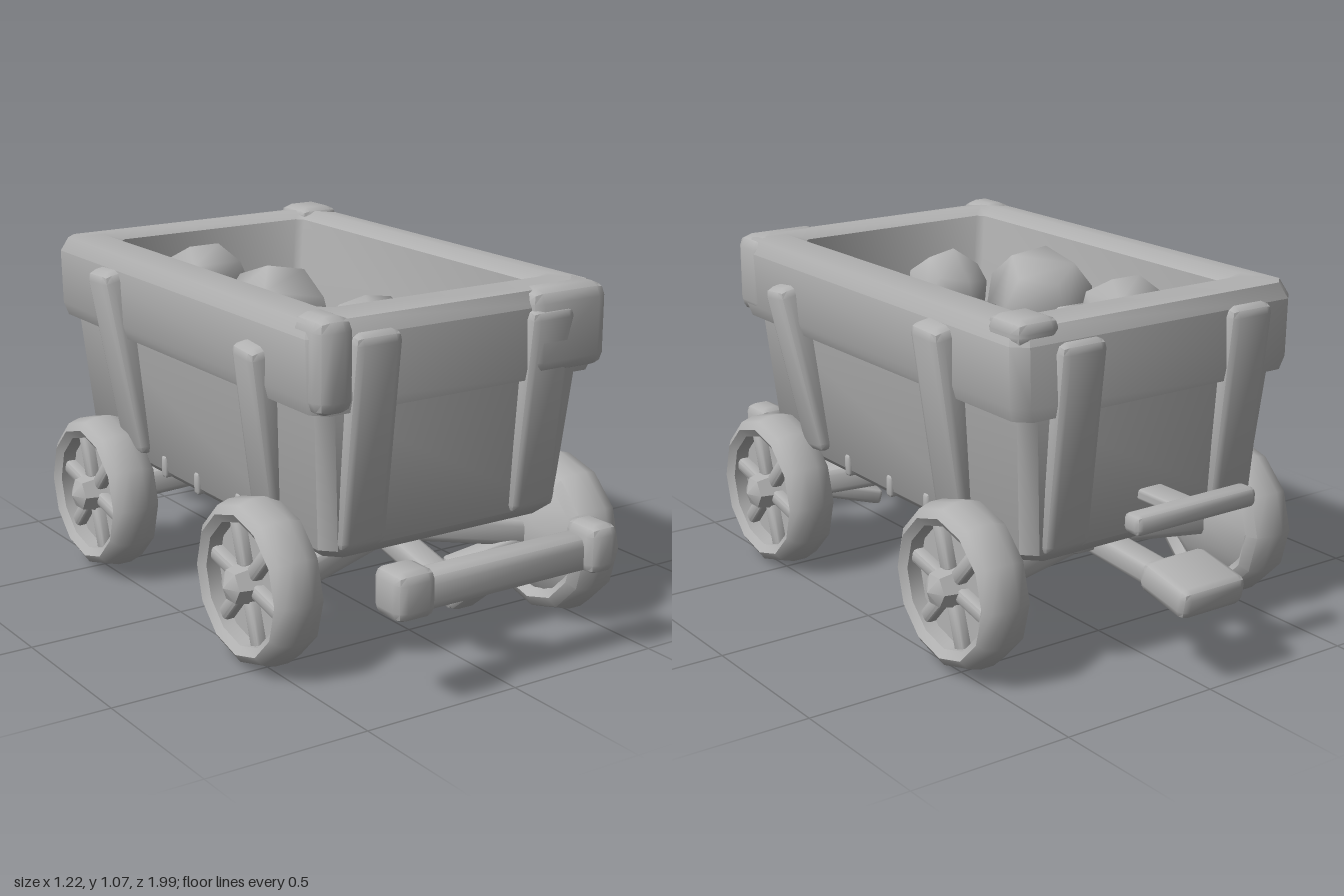
import * as THREE from 'three';
import { toCreasedNormals } from 'three/addons/utils/BufferGeometryUtils.js';
import { RoundedBoxGeometry } from 'three/addons/geometries/RoundedBoxGeometry.js';

const grey = new THREE.MeshStandardMaterial({ color: 0xb2b2b2 });
grey.name = 'plainGrey';

export function createModel() {
  const model = new THREE.Group();
  model.name = 'mineCart';

  const add = (name, geometry, parent = model, crease = 0.8) => {
    const mesh = new THREE.Mesh(toCreasedNormals(geometry, crease), grey);
    mesh.name = name;
    parent.add(mesh);
    return mesh;
  };

  // Bevelled block centred on (x, y, z)
  const block = (name, [w, h, d], [x, y, z], bevel = 0.02, parent = model) => {
    const mesh = add(name, new RoundedBoxGeometry(w, h, d, 1, bevel), parent);
    mesh.position.set(x, y, z);
    return mesh;
  };

  // Bevelled beam running from a to b
  const beam = (name, a, b, w, h, up = [0, 1, 0]) => {
    const from = new THREE.Vector3(...a), to = new THREE.Vector3(...b);
    const mesh = block(name, [w, h, from.distanceTo(to)], [0, 0, 0], Math.min(w, h) * 0.25);
    mesh.position.copy(from).add(to).multiplyScalar(0.5);
    mesh.up.set(...up);
    mesh.lookAt(to);
    return mesh;
  };

  // Skin over chamfered rectangles given as [y, halfWidth, halfLength, chamfer]
  const loft = (rings, cx = 0) => {
    const pos = [], index = [], n = 8;
    for (const [y, w, l, c] of rings) {
      const loop = [[w, -l + c], [w, l - c], [w - c, l], [-w + c, l],
        [-w, l - c], [-w, -l + c], [-w + c, -l], [w - c, -l]];
      for (const [x, z] of loop) pos.push(x + cx, y, z);
    }
    for (let i = 0; i < rings.length - 1; i++) {
      for (let j = 0; j < n; j++) {
        const a = i * n + j, b = i * n + (j + 1) % n;
        index.push(a, a + n, b + n, a, b + n, b);
      }
    }
    const last = (rings.length - 1) * n;
    for (let j = 1; j < n - 1; j++) {
      index.push(0, j, j + 1, last, last + j + 1, last + j);
    }
    const geometry = new THREE.BufferGeometry();
    geometry.setAttribute('position', new THREE.Float32BufferAttribute(pos, 3));
    geometry.setIndex(index);
    return geometry;
  };

  // Tub: outer wall, overhanging rim band, inner wall and floor
  add('tub', loft([
    [0.355, 0.38, 0.66, 0.04], [0.39, 0.42, 0.695, 0.04], [0.8, 0.455, 0.73, 0.04],
    [0.8, 0.485, 0.75, 0.04], [0.84, 0.498, 0.758, 0.04], [1.01, 0.502, 0.758, 0.04],
    [1.055, 0.485, 0.735, 0.04], [1.068, 0.4, 0.65, 0.03], [1.045, 0.347, 0.61, 0.02],
    [0.6, 0.295, 0.575, 0.02],
  ], -0.01), model, 0.85);

  // Rim corner caps
  block('rimCorner', [0.28, 0.25, 0.16], [0.352, 0.935, 0.698], 0.04);
  block('rimCorner', [0.12, 0.27, 0.16], [-0.445, 0.935, 0.698], 0.04);
  block('rimCorner', [0.15, 0.08, 0.16], [0.41, 1.038, -0.67], 0.035);

  // Leaning posts on the long sides and the ends
  for (const s of [-1, 1]) {
    const lean = s < 0 ? 0.015 : 0;
    beam('sidePost', [s * 0.39 - lean, 0.42, 0.405], [s * 0.49 - lean, 0.95, 0.46], 0.11, 0.12, [0, 0, 1]);
    beam('sidePost', [s * 0.39 - lean, 0.42, -0.36], [s * 0.492 - lean, 1.01, -0.385], 0.12, 0.14, [0, 0, 1]);
    beam('endPost', [-0.315, 0.39, s * 0.66], [-0.315, 1.02, s * 0.735], 0.16, 0.11, [0, 0, 1]);
    beam('endPost', [0.285, 0.39, s * 0.66], [0.285, 1.01, s * 0.735], 0.16, 0.11, [0, 0, 1]);
    for (const z of [0.24, 0, -0.2]) {
      block('rivet', [0.04, 0.07, 0.03], [s * 0.41 - 0.01, 0.405, z], 0.01);
    }
  }

  // Ore heap: [x, y, z, radius]
  const rocks = [
    [-0.17, 0.92, -0.39, 0.145], [0.06, 0.81, -0.32, 0.155], [-0.15, 0.78, -0.2, 0.155],
    [-0.17, 0.9, 0.03, 0.17], [0.03, 0.78, 0.14, 0.16], [-0.1, 0.73, 0.19, 0.14],
    [-0.04, 0.88, 0.35, 0.14], [-0.14, 0.74, -0.38, 0.15], [-0.04, 0.71, 0.35, 0.13],
    [-0.16, 0.72, 0.02, 0.14], [0.05, 0.68, -0.32, 0.13],
  ];
  rocks.forEach(([x, y, z, r], i) => {
    const rock = add('oreRock', new THREE.DodecahedronGeometry(r), model, 1.2);
    rock.position.set(x, y, z);
    rock.rotation.set(i * 1.7, i * 0.9, i * 2.3);
    rock.scale.set(1, 0.92, 0.96);
  });

  // Wheel whose outer face looks along its local +x
  const makeWheel = (x, y, z, side) => {
    const wheel = new THREE.Group();
    wheel.name = 'wheel';
    const tyre = [[0.175, -0.06], [0.2, -0.083], [0.232, -0.065], [0.247, -0.02], [0.247, 0.025],
      [0.235, 0.065], [0.21, 0.082], [0.185, 0.065], [0.175, -0.06]];
    const turn = (g) => g.rotateZ(-Math.PI / 2);
    add('tyre', turn(new THREE.LatheGeometry(tyre.map((p) => new THREE.Vector2(...p)), 12)), wheel);
    add('wheelDisc', turn(new THREE.CylinderGeometry(0.185, 0.185, 0.075, 12)), wheel).position.x = -0.015;
    add('hub', turn(new THREE.CylinderGeometry(0.05, 0.07, 0.09, 6)), wheel).position.x = 0.05;
    add('hubTip', turn(new THREE.ConeGeometry(0.05, 0.025, 6)), wheel).position.x = 0.1075;
    add('innerBoss', turn(new THREE.CylinderGeometry(0.19, 0.09, 0.07, 10)), wheel).position.x = -0.085;
    for (let i = 0; i < 6; i++) {
      const a = i * Math.PI / 3 + 0.3;
      const spoke = block('spoke', [0.05, 0.15, 0.045],
        [0.03, Math.cos(a) * 0.115, Math.sin(a) * 0.115], 0.012, wheel);
      spoke.rotation.x = a;
    }
    wheel.position.set(x, y, z);
    if (side < 0) wheel.rotation.y = Math.PI;
    model.add(wheel);
  };
  makeWheel(0.475, 0.25, 0.575, 1);
  makeWheel(-0.5, 0.255, 0.46, -1);
  makeWheel(0.48, 0.265, -0.48, 1);
  makeWheel(-0.5, 0.265, -0.48, -1);

  // Axle arms and bearers under the tub
  beam('axleArm', [0.42, 0.25, 0.575], [0.14, 0.175, 0.5], 0.07, 0.05);
  beam('axleArm', [0.42, 0.26, 0.56], [0.0, 0.31, 0.37], 0.12, 0.09);
  beam('axleArm', [-0.44, 0.24, 0.46], [0.0, 0.31, 0.37], 0.12, 0.09);
  beam('axleArm', [0.42, 0.27, -0.48], [0.0, 0.31, -0.42], 0.12, 0.09);
  beam('axleArm', [-0.44, 0.27, -0.48], [0.0, 0.31, -0.42], 0.12, 0.09);
  block('axleBearer', [0.26, 0.12, 0.2], [-0.01, 0.32, 0.38], 0.04);
  block('axleBearer', [0.26, 0.12, 0.2], [-0.01, 0.32, -0.42], 0.04);
  block('brakePlate', [0.31, 0.018, 0.21], [-0.015, 0.195, -0.14], 0.004);
  beam('plateHanger', [-0.01, 0.2, -0.22], [-0.01, 0.3, -0.38], 0.06, 0.03);

  // Front buffer bar with end blocks and drawbar
  block('bufferBar', [0.66, 0.11, 0.1], [-0.015, 0.325, 0.91], 0.03);
  block('bufferEnd', [0.13, 0.14, 0.13], [-0.335, 0.342, 0.932], 0.03);
  block('bufferEnd', [0.1, 0.145, 0.13], [0.32, 0.342, 0.932], 0.03);
  beam('drawbar', [-0.01, 0.32, 0.9], [-0.01, 0.19, 0.74], 0.09, 0.08);
  beam('drawbar', [-0.01, 0.195, 0.77], [-0.01, 0.29, 0.36], 0.09, 0.07);

  // Rear handle and coupling block
  block('handleStem', [0.09, 0.035, 0.24], [-0.015, 0.5, -0.76], 0.01);
  block('handleBar', [0.435, 0.06, 0.07], [-0.015, 0.5, -0.88], 0.018);
  beam('couplingStem', [-0.015, 0.29, -0.4], [-0.015, 0.26, -0.82], 0.09, 0.07);
  block('couplingBlock', [0.23, 0.09, 0.2], [-0.015, 0.285, -0.895], 0.025).rotation.x = -0.2;

  return model;
}
